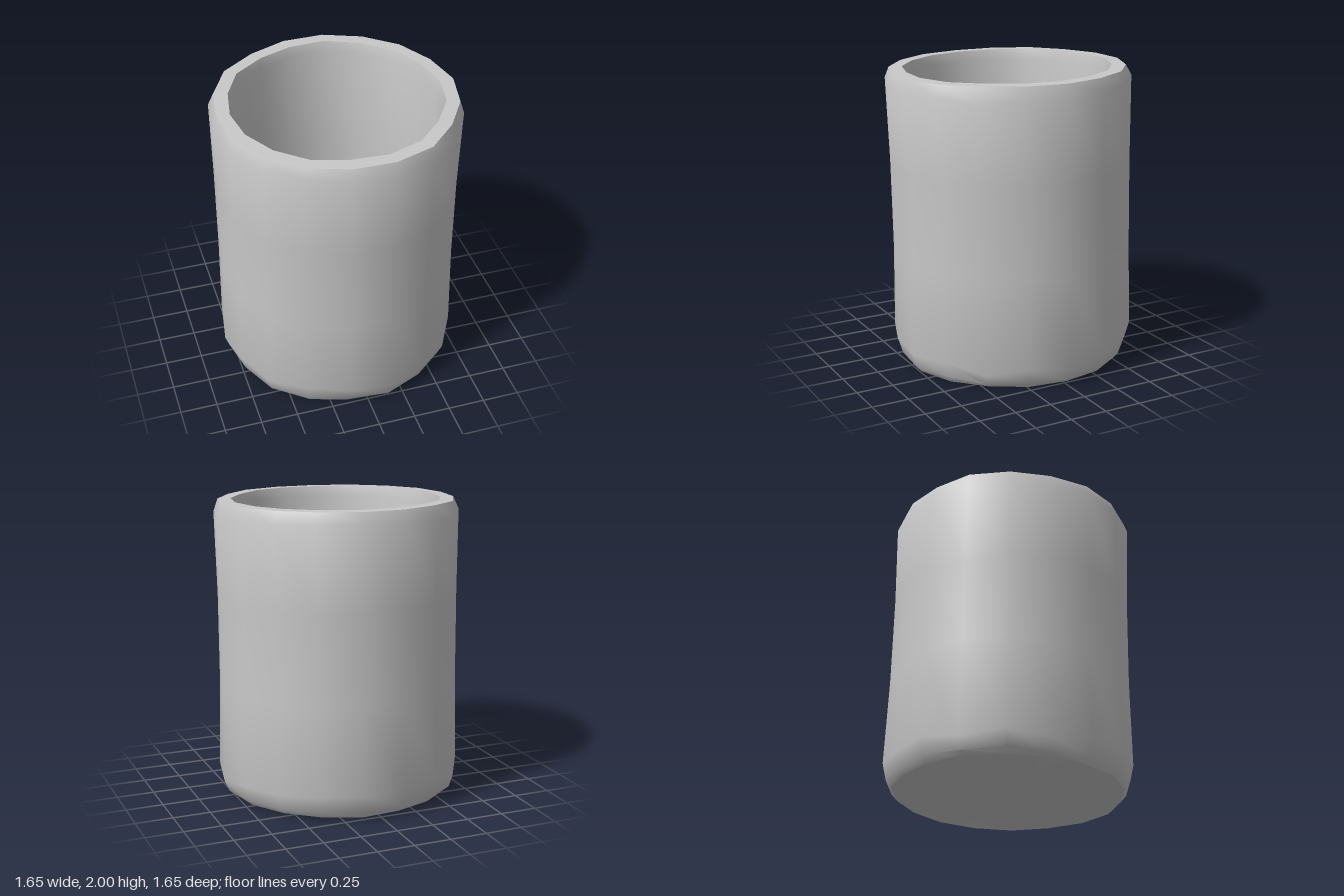
import * as THREE from 'three';
import { toCreasedNormals } from 'three/addons/utils/BufferGeometryUtils.js';

// Hand-cut, slightly uneven stone cup
export function createModel() {
  const group = new THREE.Group();
  group.name = 'stoneCup';
  const stone = new THREE.MeshStandardMaterial({ color: 0xc8c8c8 });
  stone.name = 'grey stone';

  // Closed profile: underside, outer wall, rim, inner wall, inside floor
  const profile = [
    [0, 0.013], [0.755, 0.013], [0.79, 0.05], [0.82, 0.15], [0.808, 0.75], [0.808, 1.35],
    [0.818, 1.9], [0.785, 1.985], [0.695, 1.987], [0.68, 1.92],
    [0.678, 1.1], [0.675, 0.25], [0.65, 0.16], [0, 0.15],
  ].map(([r, y]) => new THREE.Vector2(r, y));
  const sides = 18;
  const geometry = new THREE.LatheGeometry(profile, sides, Math.PI / sides);

  // Uneven carving: small ripples in radius, chipped edge heights
  const pos = geometry.attributes.position;
  const rows = profile.length;
  for (let i = 0; i < pos.count; i++) {
    const row = i % rows;
    const side = Math.floor(i / rows) % sides;
    const angle = (side / sides) * Math.PI * 2;
    const r = profile[row].x;
    if (r === 0) continue;
    const ripple = 0.006 * Math.sin(5 * angle + 0.7) + 0.006 * Math.sin(7 * angle + row * 0.8);
    const scale = 1 + ripple / r;
    pos.setX(i, pos.getX(i) * scale);
    pos.setZ(i, pos.getZ(i) * scale);
    const chip = Math.sin(5 * angle + 1) * Math.sin(3 * angle);
    if (row === 2) pos.setY(i, pos.getY(i) + 0.015 * chip);
    if (row === 3) pos.setY(i, pos.getY(i) + 0.04 * chip);
    if (row === 6) pos.setY(i, pos.getY(i) + 0.03 * chip);
  }

  const cup = new THREE.Mesh(toCreasedNormals(geometry, 0.65), stone);
  cup.name = 'cup';
  // Slight lean toward the front
  cup.rotation.x = 0.016;
  cup.position.z = -0.014;
  group.add(cup);
  return group;
}
